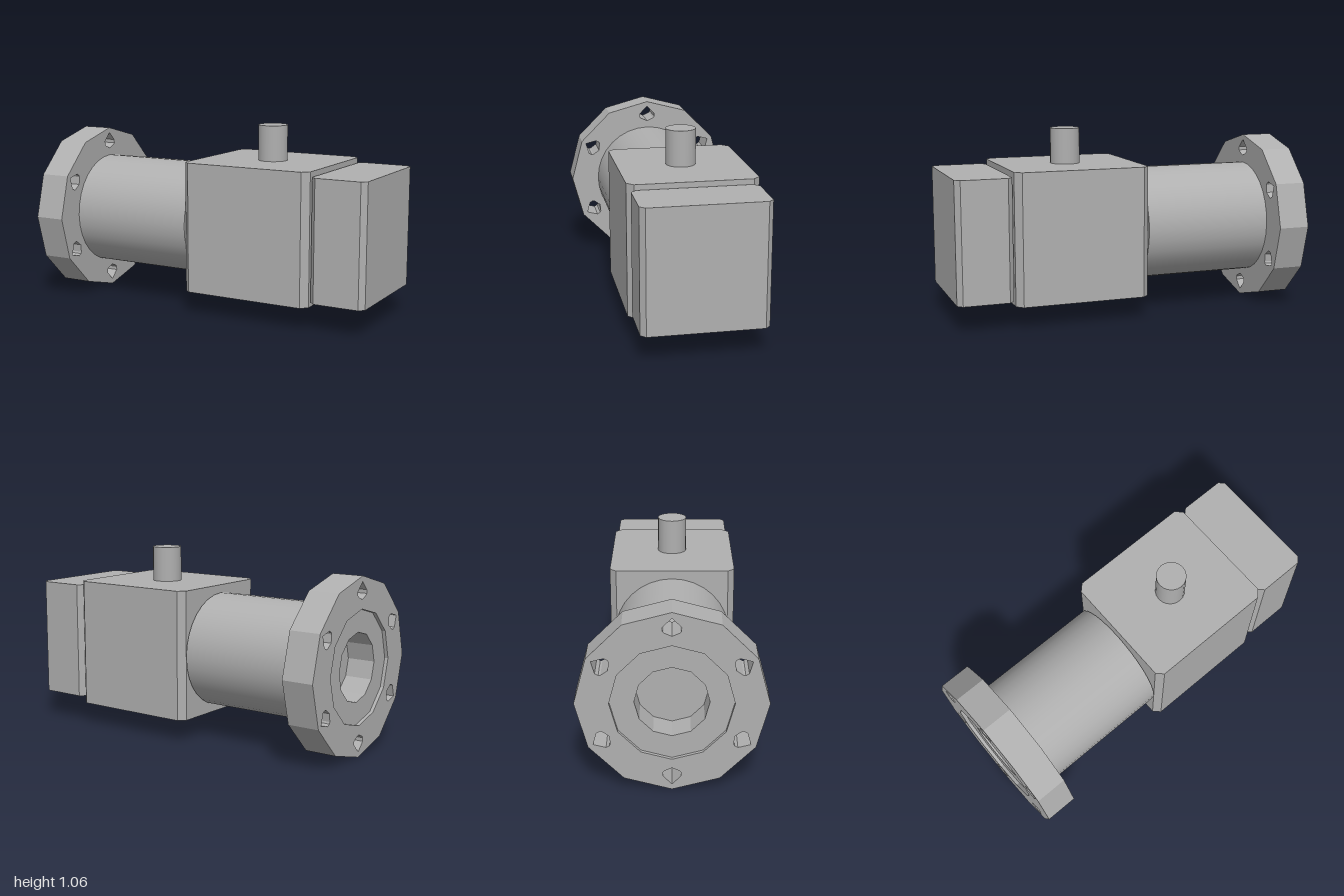
import * as THREE from 'three';

const steel = new THREE.MeshStandardMaterial({ color: 0xb0b0b0 });
steel.name = 'steel grey';

const AXIS_Y = 0.49; // height of the pipe axis

// Regular polygon as a list of 2D points
function polygon(radius, sides) {
  return Array.from({ length: sides }, (_, i) => {
    const a = (i / sides) * Math.PI * 2;
    return new THREE.Vector2(Math.cos(a) * radius, Math.sin(a) * radius);
  });
}

// Six teardrop bolt holes, each pointing outward
function boltHoles() {
  const drop = [[0.46, 0], [0.412, 0.047], [0.392, 0.047], [0.383, 0.04], [0.365, 0],
    [0.383, -0.04], [0.392, -0.047], [0.412, -0.047]];
  return Array.from({ length: 6 }, (_, i) => {
    const a = Math.PI / 6 + (i * Math.PI) / 3;
    return new THREE.Path(drop.map(([x, y]) =>
      new THREE.Vector2(x, y).rotateAround(new THREE.Vector2(), a)));
  });
}

// Twelve-sided plate with bolt holes and a central opening, from x0 to x1
function flangePlate(name, x0, x1, opening) {
  const shape = new THREE.Shape(polygon(0.49, 12));
  shape.holes = [...boltHoles(), new THREE.Path(polygon(opening, 12))];
  const geo = new THREE.ExtrudeGeometry(shape, { depth: x1 - x0, bevelEnabled: false });
  geo.rotateY(Math.PI / 2);
  const mesh = new THREE.Mesh(geo, steel);
  mesh.name = name;
  mesh.position.set(x0, AXIS_Y, 0);
  return mesh;
}

// Block with its four upright edges chamfered
function chamferedBlock(name, x0, x1, y0, y1, halfZ, c) {
  const corners = [[x0 + c, -halfZ], [x1 - c, -halfZ], [x1, -halfZ + c], [x1, halfZ - c],
    [x1 - c, halfZ], [x0 + c, halfZ], [x0, halfZ - c], [x0, -halfZ + c]];
  const shape = new THREE.Shape(corners.map(([x, z]) => new THREE.Vector2(x, z)));
  const geo = new THREE.ExtrudeGeometry(shape, { depth: y1 - y0, bevelEnabled: false });
  geo.rotateX(-Math.PI / 2);
  const mesh = new THREE.Mesh(geo, steel);
  mesh.name = name;
  mesh.position.y = y0;
  return mesh;
}

export function createModel() {
  const model = new THREE.Group();
  model.name = 'flangedValve';

  // Flange: shallow recessed outer face, then the main plate with the bore
  const flange = new THREE.Group();
  flange.name = 'flange';
  flange.add(flangePlate('flangeRim', -1, -0.98, 0.315));
  flange.add(flangePlate('flangePlate', -0.98, -0.822, 0.19));
  model.add(flange);

  // Pipe between flange and body
  const pipe = new THREE.Mesh(new THREE.CylinderGeometry(0.324, 0.324, 0.732, 32), steel);
  pipe.name = 'pipe';
  pipe.rotation.z = Math.PI / 2;
  pipe.position.set(-0.456, AXIS_Y, 0);
  model.add(pipe);

  // Body and end cap
  model.add(chamferedBlock('body', -0.083, 0.68, 0.126, 0.858, 0.352, 0.036));
  model.add(chamferedBlock('endCap', 0.688, 1, 0.155, 0.83, 0.337, 0.028));

  // Stem on top of the body
  const stem = new THREE.Mesh(new THREE.CylinderGeometry(0.083, 0.083, 0.2, 20), steel);
  stem.name = 'stem';
  stem.position.set(0.3, 0.957, 0);
  model.add(stem);

  return model;
}
